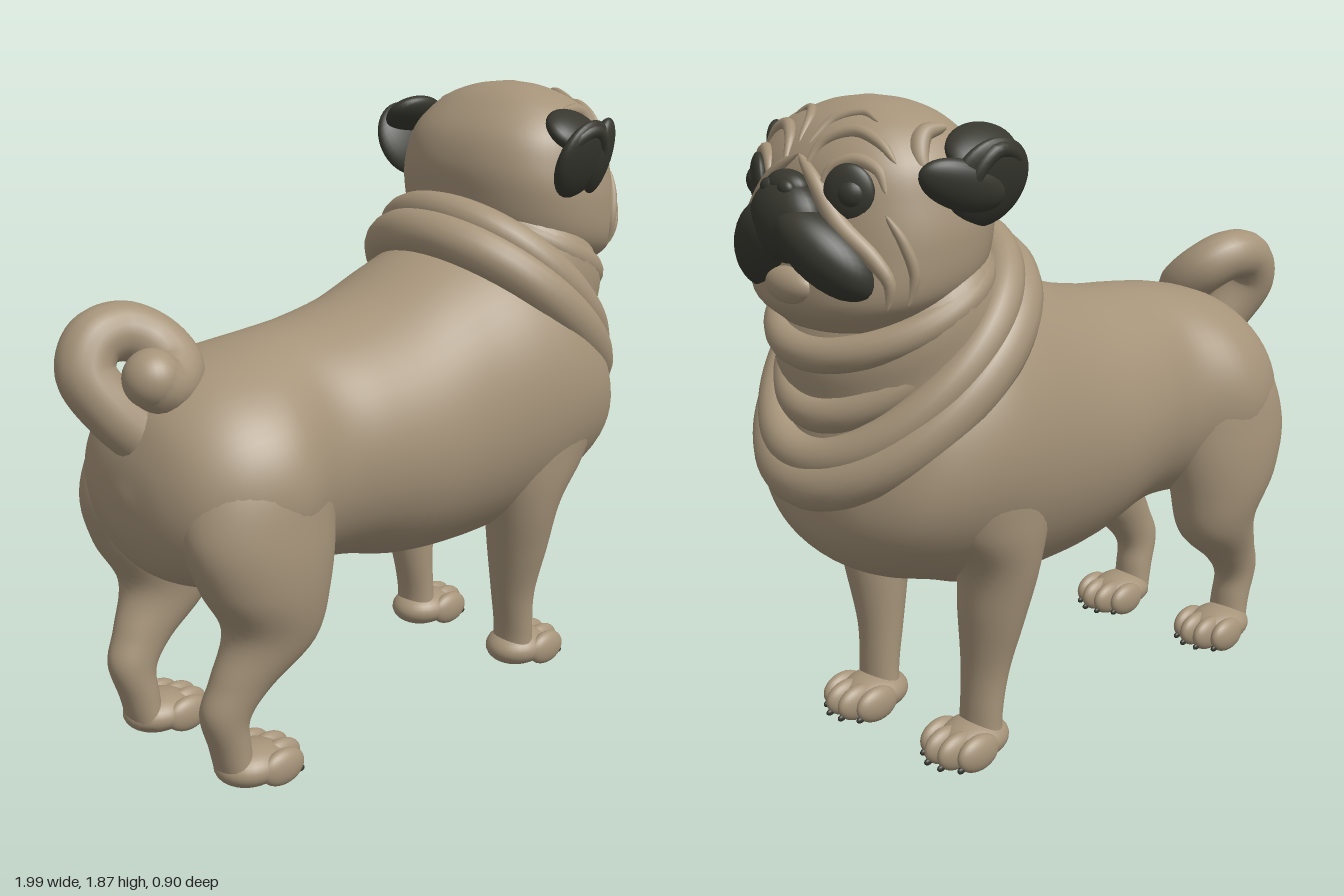
import * as THREE from 'three';

const V = (x, y, z) => new THREE.Vector3(x, y, z);

// Smooth closed skin through rings; each ring is [ax, ay, bx, by, centreZ, halfWidth],
// where a and b are opposite points of the ring in the middle plane.
function loft(rings, { steps = 6, sides = 40, power = 2, side = 1 } = {}) {
  const a = new THREE.CatmullRomCurve3(rings.map(r => V(r[0], r[1], r[4] * side)), false, 'catmullrom');
  const b = new THREE.CatmullRomCurve3(rings.map(r => V(r[2], r[3], r[5])), false, 'catmullrom');
  const rows = (rings.length - 1) * steps, pos = [], idx = [];
  const round = v => Math.sign(v) * Math.pow(Math.abs(v), 2 / power);
  const ends = [];
  for (let i = 0; i <= rows; i++) {
    const p = a.getPoint(i / rows), q = b.getPoint(i / rows);
    const mx = (p.x + q.x) / 2, my = (p.y + q.y) / 2;
    if (i === 0 || i === rows) ends.push(mx, my, p.z);
    for (let j = 0; j < sides; j++) {
      const t = j / sides * Math.PI * 2, c = round(Math.cos(t));
      pos.push(mx + (p.x - mx) * c, my + (p.y - my) * c, p.z + Math.max(q.z, 0.001) * round(Math.sin(t)));
    }
  }
  pos.push(...ends);
  const n = (rows + 1) * sides;
  for (let j = 0; j < sides; j++) {
    const k = (j + 1) % sides;
    for (let i = 0; i < rows; i++) {
      const p = i * sides, q = p + sides;
      idx.push(p + j, q + j, p + k, p + k, q + j, q + k);
    }
    idx.push(n, j, k, n + 1, rows * sides + k, rows * sides + j);
  }
  // Turn the faces outward
  let volume = 0;
  const at = i => V(pos[i * 3], pos[i * 3 + 1], pos[i * 3 + 2]);
  for (let i = 0; i < idx.length; i += 3) volume += at(idx[i]).dot(at(idx[i + 1]).cross(at(idx[i + 2])));
  if (volume < 0) idx.reverse();
  const g = new THREE.BufferGeometry();
  g.setAttribute('position', new THREE.Float32BufferAttribute(pos, 3));
  g.setIndex(idx);
  g.computeVertexNormals();
  return g;
}

export function createModel() {
  const dog = new THREE.Group();
  dog.name = 'dog';
  const fawn = new THREE.MeshStandardMaterial({ name: 'fawn fur', color: 0xa59379 });
  const dark = new THREE.MeshStandardMaterial({ name: 'dark fur', color: 0x37372f });

  const add = (name, geo, mat = fawn) => {
    const m = new THREE.Mesh(geo, mat);
    m.name = name;
    dog.add(m);
    return m;
  };
  // Ellipsoid whose local z axis points along dir
  const blob = (name, mat, p, r, dir) => {
    const m = add(name, new THREE.SphereGeometry(1, 28, 20), mat);
    m.position.set(...p);
    m.scale.set(...r);
    if (dir) m.quaternion.setFromUnitVectors(V(0, 0, 1), V(...dir).normalize());
    return m;
  };
  // Rounded roll of skin along a path, tapering at both ends
  const roll = (name, pts, r, mat = fawn) => {
    const curve = new THREE.CatmullRomCurve3(pts), seg = 28, sides = 10;
    const g = new THREE.TubeGeometry(curve, seg, r, sides);
    const p = g.attributes.position;
    for (let i = 0; i <= seg; i++) {
      const c = curve.getPointAt(i / seg), k = Math.pow(Math.sin(Math.PI * i / seg), 0.5);
      for (let j = 0; j <= sides; j++) {
        const n = i * (sides + 1) + j, v = V().fromBufferAttribute(p, n).sub(c).multiplyScalar(k).add(c);
        p.setXYZ(n, v.x, v.y, v.z);
      }
    }
    return add(name, g, mat);
  };
  // Closed skin fold around the neck from a back point to a front point
  const neckRing = (name, back, front, hw, r) => {
    const pts = [];
    for (let i = 0; i < 24; i++) {
      const t = i / 24 * Math.PI * 2, k = (1 + Math.cos(t)) / 2;
      pts.push(V(back[0] + (front[0] - back[0]) * k, back[1] + (front[1] - back[1]) * k,
        hw * Math.sin(t) * (1.06 - 0.18 * k)));
    }
    return add(name, new THREE.TubeGeometry(new THREE.CatmullRomCurve3(pts, true), 80, r, 16, true));
  };

  // Trunk, from rump to chest
  add('body', loft([
    [-0.885, 0.87, -0.885, 0.83, 0, 0.02], [-0.865, 0.98, -0.865, 0.72, 0, 0.17],
    [-0.81, 1.09, -0.81, 0.62, 0, 0.285], [-0.70, 1.17, -0.70, 0.56, 0, 0.365],
    [-0.55, 1.21, -0.55, 0.53, 0, 0.395], [-0.37, 1.235, -0.37, 0.53, 0, 0.335],
    [-0.20, 1.25, -0.20, 0.52, 0, 0.365], [0, 1.29, 0, 0.47, 0, 0.40],
    [0.20, 1.37, 0.20, 0.45, 0, 0.415], [0.40, 1.43, 0.40, 0.46, 0, 0.44],
    [0.55, 1.40, 0.55, 0.51, 0, 0.445], [0.70, 1.27, 0.70, 0.56, 0, 0.40],
    [0.80, 1.10, 0.80, 0.62, 0, 0.32], [0.865, 0.95, 0.865, 0.70, 0, 0.18],
    [0.885, 0.84, 0.885, 0.80, 0, 0.02],
  ], { sides: 56 }));
  blob('belly bulge', fawn, [-0.44, 0.565, 0], [0.15, 0.06, 0.08]);

  // Neck and its loose folds
  add('neck', loft([
    [0.30, 1.40, 0.88, 0.90, 0, 0.36], [0.31, 1.46, 0.86, 1.05, 0, 0.36],
    [0.36, 1.50, 0.87, 1.16, 0, 0.36], [0.38, 1.52, 0.86, 1.24, 0, 0.35],
    [0.42, 1.54, 0.82, 1.36, 0, 0.31],
  ]));
  neckRing('collar fold', [0.275, 1.43], [0.89, 0.87], 0.362, 0.074);
  neckRing('collar edge', [0.325, 1.495], [0.885, 0.935], 0.355, 0.058);
  neckRing('middle neck fold', [0.38, 1.46], [0.85, 1.05], 0.30, 0.05);
  neckRing('upper neck fold', [0.41, 1.47], [0.865, 1.215], 0.32, 0.048);

  // Head
  const head = add('head', loft([
    [0.46, 1.36, 0.86, 1.28, 0, 0.25], [0.39, 1.45, 0.925, 1.35, 0, 0.33],
    [0.365, 1.56, 0.92, 1.48, 0, 0.348], [0.365, 1.65, 0.91, 1.60, 0, 0.335],
    [0.40, 1.74, 0.885, 1.71, 0, 0.305], [0.48, 1.82, 0.82, 1.80, 0, 0.225],
    [0.55, 1.857, 0.73, 1.853, 0, 0.12], [0.62, 1.87, 0.66, 1.87, 0, 0.02],
  ], { sides: 56, power: 2.3 }));
  const ray = new THREE.Raycaster();
  const onFace = (z, y) => {
    ray.set(V(3, y, z), V(-1, 0, 0));
    const hit = ray.intersectObject(head)[0];
    return V(hit ? hit.point.x : 0.65, y, z);
  };

  // Muzzle, nose and chin
  blob('muzzle', dark, [0.915, 1.57, 0], [0.078, 0.11, 0.125]);
  blob('nose', dark, [0.912, 1.655, 0], [0.045, 0.045, 0.072]);
  blob('chin', fawn, [0.915, 1.405, 0], [0.045, 0.05, 0.09]);

  for (const s of [1, -1]) {
    const face = (name, pts, r) => roll(name, pts.map(([z, y]) => onFace(z * s, y)), r);

    blob('jowl', dark, [0.89, 1.495, 0.125 * s], [0.085, 0.1, 0.165], [-0.4, -0.64, 0.72 * s]);
    blob('nostril rim', dark, [0.943, 1.655, 0.035 * s], [0.02, 0.024, 0.027]);

    // Eyes with dark surrounds and lids
    const e = onFace(0.185 * s, 1.65);
    blob('eye surround', dark, [e.x - 0.005, e.y, e.z], [0.068, 0.075, 0.025], [0.85, 0, 0.5 * s]);
    blob('eye', dark, [e.x - 0.02, e.y, e.z], [0.047, 0.047, 0.047]);
    face('upper lid', [[0.105, 1.66], [0.13, 1.71], [0.185, 1.73], [0.24, 1.705], [0.265, 1.65]], 0.018);

    // Face wrinkles
    face('nose fold', [[0.0, 1.735], [0.08, 1.68], [0.17, 1.575], [0.255, 1.49], [0.285, 1.43], [0.27, 1.36]], 0.026);
    face('cheek fold', [[0.27, 1.60], [0.305, 1.53], [0.32, 1.45], [0.30, 1.37]], 0.016);
    face('brow fold', [[0.04, 1.70], [0.07, 1.77], [0.14, 1.795], [0.21, 1.77], [0.265, 1.72]], 0.018);
    face('forehead fold', [[0.02, 1.76], [0.05, 1.82], [0.11, 1.835], [0.17, 1.815]], 0.014);
    roll('ear base fold', [V(0.69, 1.66, 0.30 * s), V(0.71, 1.73, 0.275 * s), V(0.68, 1.785, 0.255 * s),
      V(0.60, 1.80, 0.255 * s)], 0.026);

    // Folded ears: a shelf leaving the head and a flap hanging from it
    blob('ear shelf', dark, [0.555, 1.745, 0.335 * s], [0.112, 0.085, 0.04], [0.1, 0.75, 0.66 * s]);
    blob('ear', dark, [0.56, 1.665, 0.365 * s], [0.12, 0.125, 0.036], [0.1, -0.36, s]);
    blob('ear flap', dark, [0.645, 1.665, 0.358 * s], [0.066, 0.122, 0.038], [0.4, -0.3, s]);
    roll('ear rim', [V(0.63, 1.60, 0.365 * s), V(0.62, 1.70, 0.395 * s), V(0.57, 1.75, 0.408 * s),
      V(0.50, 1.73, 0.398 * s), V(0.465, 1.66, 0.37 * s), V(0.51, 1.585, 0.345 * s)], 0.022, dark);

    // Legs
    add('front leg', loft([
      [0.42, 0.04, 0.53, 0.04, 0.222, 0.075], [0.42, 0.13, 0.525, 0.14, 0.225, 0.07],
      [0.395, 0.26, 0.525, 0.27, 0.23, 0.075], [0.36, 0.42, 0.545, 0.44, 0.25, 0.10],
      [0.325, 0.58, 0.57, 0.60, 0.27, 0.12], [0.29, 0.74, 0.68, 0.74, 0.275, 0.14],
      [0.28, 0.92, 0.78, 0.92, 0.25, 0.165], [0.36, 1.12, 0.70, 1.12, 0.20, 0.12],
    ], { side: s }));
    add('hind leg', loft([
      [-0.74, 0.04, -0.64, 0.04, 0.215, 0.07], [-0.765, 0.13, -0.65, 0.14, 0.215, 0.065],
      [-0.80, 0.25, -0.65, 0.22, 0.22, 0.066], [-0.765, 0.35, -0.585, 0.30, 0.23, 0.078],
      [-0.725, 0.48, -0.44, 0.42, 0.245, 0.115], [-0.80, 0.62, -0.395, 0.58, 0.25, 0.148],
      [-0.845, 0.78, -0.365, 0.76, 0.235, 0.165], [-0.80, 0.95, -0.37, 0.95, 0.20, 0.165],
      [-0.70, 1.10, -0.46, 1.10, 0.14, 0.10],
    ], { side: s }));

    // Paws with four toes and dark claws
    for (const [name, x] of [['front', 0.50], ['hind', -0.64]]) {
      blob(name + ' paw', fawn, [x, 0.06, 0.22 * s], [0.11, 0.06, 0.095]);
      [-0.078, -0.027, 0.027, 0.078].forEach((dz, i) => {
        const out = i === 1 || i === 2 ? 0.03 : 0;
        blob(name + ' toe', fawn, [x + 0.055 + out, 0.055, 0.22 * s + dz], [0.075, 0.054, 0.031]);
        blob(name + ' claw', dark, [x + 0.12 + out, 0.025, 0.22 * s + dz], [0.014, 0.01, 0.008]);
      });
    }
  }

  // Curled tail
  const tailPath = new THREE.CatmullRomCurve3([V(-0.76, 0.97, 0), V(-0.86, 1.08, -0.05), V(-0.912, 1.19, -0.10),
    V(-0.87, 1.265, -0.115), V(-0.78, 1.28, -0.105), V(-0.71, 1.24, -0.06), V(-0.70, 1.18, 0.01),
    V(-0.76, 1.155, 0.045), V(-0.80, 1.18, 0.045)]);
  add('tail', new THREE.TubeGeometry(tailPath, 60, 0.082, 18));
  blob('tail tip', fawn, [-0.80, 1.18, 0.045], [0.082, 0.082, 0.082]);
  return dog;
}
